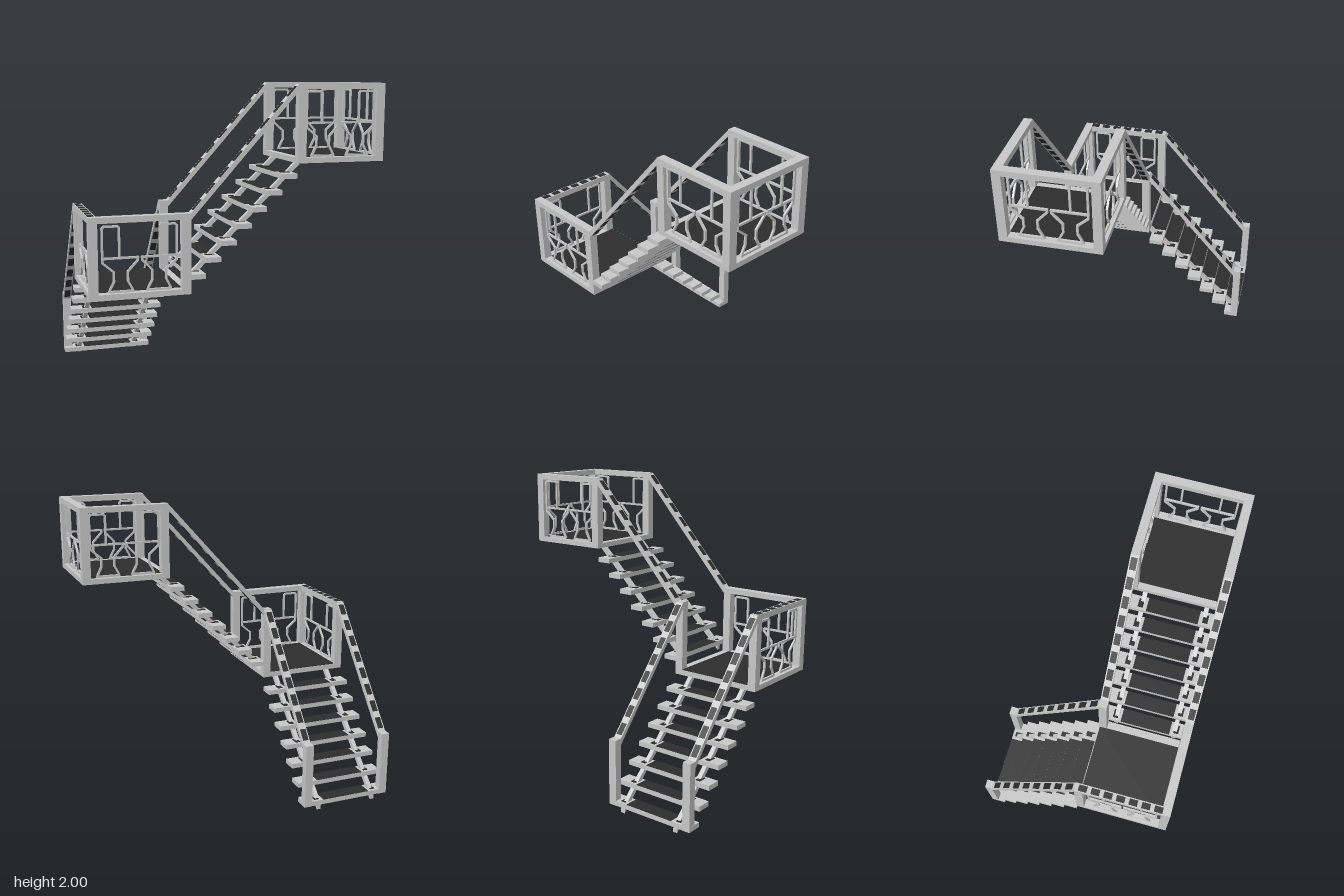
import * as THREE from 'three';

const steel = new THREE.MeshStandardMaterial({ color: 0xc8c8c8 });
steel.name = 'light grey steel';
const grip = new THREE.MeshStandardMaterial({ color: 0x2d2d2d });
grip.name = 'dark grip surface';

function add(parent, name, geometry, material, x = 0, y = 0, z = 0) {
  const mesh = new THREE.Mesh(geometry, material);
  mesh.name = name;
  mesh.position.set(x, y, z);
  parent.add(mesh);
  return mesh;
}

// Box given by its minimum and maximum corners
function block(parent, name, material, [x0, y0, z0], [x1, y1, z1]) {
  return add(parent, name, new THREE.BoxGeometry(x1 - x0, y1 - y0, z1 - z0), material,
    (x0 + x1) / 2, (y0 + y1) / 2, (z0 + z1) / 2);
}

// Sloping beam with upright ends; a and b are points on its top edge
function beam(parent, name, material, a, b, thick, width, z) {
  const shape = new THREE.Shape([
    new THREE.Vector2(a[0], a[1] - thick), new THREE.Vector2(b[0], b[1] - thick),
    new THREE.Vector2(b[0], b[1]), new THREE.Vector2(a[0], a[1]),
  ]);
  const g = new THREE.ExtrudeGeometry(shape, { depth: width, bevelEnabled: false });
  add(parent, name, g, material, 0, 0, z - width / 2);
}

// Straight flight climbing along +x, first tread centred on the origin
function flight(name, railStart, railEnd) {
  const group = new THREE.Group();
  group.name = name;
  for (let i = 0; i < 7; i++) {
    const x = i * 0.0985, y = i * 0.0995;
    add(group, 'tread', new THREE.BoxGeometry(0.098, 0.032, 0.625), steel, x, y, 0);
    for (const s of [-1, 1]) {
      add(group, 'treadGrip', new THREE.BoxGeometry(0.097, 0.004, 0.345), grip, x, y + s * 0.0165, 0);
      for (const e of [-1, 1])
        add(group, 'treadEndGrip', new THREE.BoxGeometry(0.06, 0.004, 0.035), grip, x, y + s * 0.0165, e * 0.215);
    }
  }
  for (const s of [-1, 1]) {
    beam(group, 'stringer', steel, [-0.045, -0.01], [0.69, 0.7], 0.04, 0.03, s * 0.205);
    const z = s * 0.285, thick = 0.042;
    beam(group, 'handrail', steel, railStart, railEnd, thick, 0.055, z);
    // grip strips above and below the handrail
    const at = (t) => [
      THREE.MathUtils.lerp(railStart[0], railEnd[0], t),
      THREE.MathUtils.lerp(railStart[1], railEnd[1], t),
    ];
    for (let i = 0; i < 8; i++) {
      for (const drop of [-0.002, thick - 0.002]) {
        const a = at((i + 0.2) / 8), b = at((i + 0.82) / 8);
        beam(group, 'handrailGrip', grip, [a[0], a[1] - drop], [b[0], b[1] - drop], 0.004, 0.04, z);
      }
    }
  }
  return group;
}

// Decorative bar outlines in one half of a panel: u from the centre, y from the platform base
const backFrame = [[-0.228, 0.25], [-0.228, 0.43], [-0.218, 0.44], [-0.134, 0.44], [-0.125, 0.43], [-0.125, 0.25]];
const goblet = [[-0.228, 0.247], [-0.012, 0.247], [-0.014, 0.228], [-0.075, 0.163], [-0.075, 0.105],
  [-0.05, 0.058], [-0.044, 0.042], [-0.19, 0.042], [-0.184, 0.058], [-0.16, 0.105], [-0.16, 0.163], [-0.226, 0.22], [-0.228, 0.247]];

function panel(name) {
  const group = new THREE.Group();
  group.name = name;
  for (const s of [-1, 1]) {
    for (const path of [backFrame, goblet]) {
      for (let i = 0; i + 1 < path.length; i++) {
        const [u0, v0] = path[i], [u1, v1] = path[i + 1];
        const bar = add(group, 'panelBar',
          new THREE.BoxGeometry(Math.hypot(u1 - u0, v1 - v0) + 0.009, 0.013, 0.013), steel,
          s * (u0 + u1) / 2, (v0 + v1) / 2, 0);
        bar.rotation.z = Math.atan2(v1 - v0, s * (u1 - u0));
      }
    }
  }
  return group;
}

const Z0 = 0.035, Z1 = 0.66, POST = 0.055;

// Square landing with corner posts and railed sides
function platform(name, x0, x1, y0, y1, sides, floor) {
  const group = new THREE.Group();
  group.name = name;
  block(group, 'floorFrame', steel, [x0, y0, Z0], [x1, y0 + 0.034, Z1]);
  block(group, 'floor', grip, [floor[0], y0 + 0.033, floor[2]], [floor[1], y0 + 0.038, floor[3]]);
  block(group, 'floorUnderside', grip, [x0 + 0.012, y0 - 0.003, Z0 + 0.012], [x1 - 0.012, y0 + 0.002, Z1 - 0.012]);
  for (const x of [x0, x1 - POST])
    for (const z of [Z0, Z1 - POST])
      block(group, 'post', steel, [x, y0, z], [x + POST, y1, z + POST]);

  const cx = (x0 + x1) / 2, cz = (Z0 + Z1) / 2, top = y1 - 0.037;
  for (const side of sides) {
    const p = panel(side + 'Panel');
    if (side === 'front' || side === 'back') {
      const z = side === 'front' ? Z1 - POST : Z0;
      block(group, side + 'TopRail', steel, [x0 + POST, top, z], [x1 - POST, y1, z + POST]);
      p.position.set(cx, y0, z + POST / 2);
    } else {
      const x = side === 'left' ? x1 - POST : x0;
      block(group, side + 'TopRail', steel, [x, top, Z0 + POST], [x + POST, y1, Z1 - POST]);
      p.position.set(x + POST / 2, y0, cz);
      p.rotation.y = Math.PI / 2;
    }
    group.add(p);
  }
  return group;
}

export function createModel() {
  const model = new THREE.Group();
  model.name = 'staircase';

  // Landings
  const lower = platform('lowerLanding', -0.947, -0.322, 0.73, 1.23, ['front', 'right'], [-0.89, -0.375, 0.04, 0.605]);
  for (let i = 0; i < 7; i++)
    block(lower, 'topRailGrip', grip, [-0.94, 1.228, 0.06 + i * 0.082], [-0.9, 1.232, 0.115 + i * 0.082]);
  model.add(lower);
  model.add(platform('upperLanding', 0.365, 0.947, 1.51, 2.0, ['front', 'back', 'left'], [0.41, 0.892, 0.065, 0.605]));

  // Upper flight climbs towards +x
  const upperFlight = flight('upperFlight', [-0.047, 0.393], [0.645, 1.163]);
  upperFlight.position.set(-0.278, 0.835, 0.347);
  model.add(upperFlight);

  // Lower flight climbs from the back towards +z
  const lowerFlight = flight('lowerFlight', [0, 0.42], [0.642, 1.178]);
  lowerFlight.rotation.y = -Math.PI / 2;
  lowerFlight.position.set(-0.635, 0.05, -0.606);
  model.add(lowerFlight);

  // Newel posts at the foot of the stairs
  for (const x of [-0.947, -0.322 - POST])
    block(model, 'newelPost', steel, [x, 0.033, -0.656], [x + POST, 0.472, -0.606]);
  return model;
}
